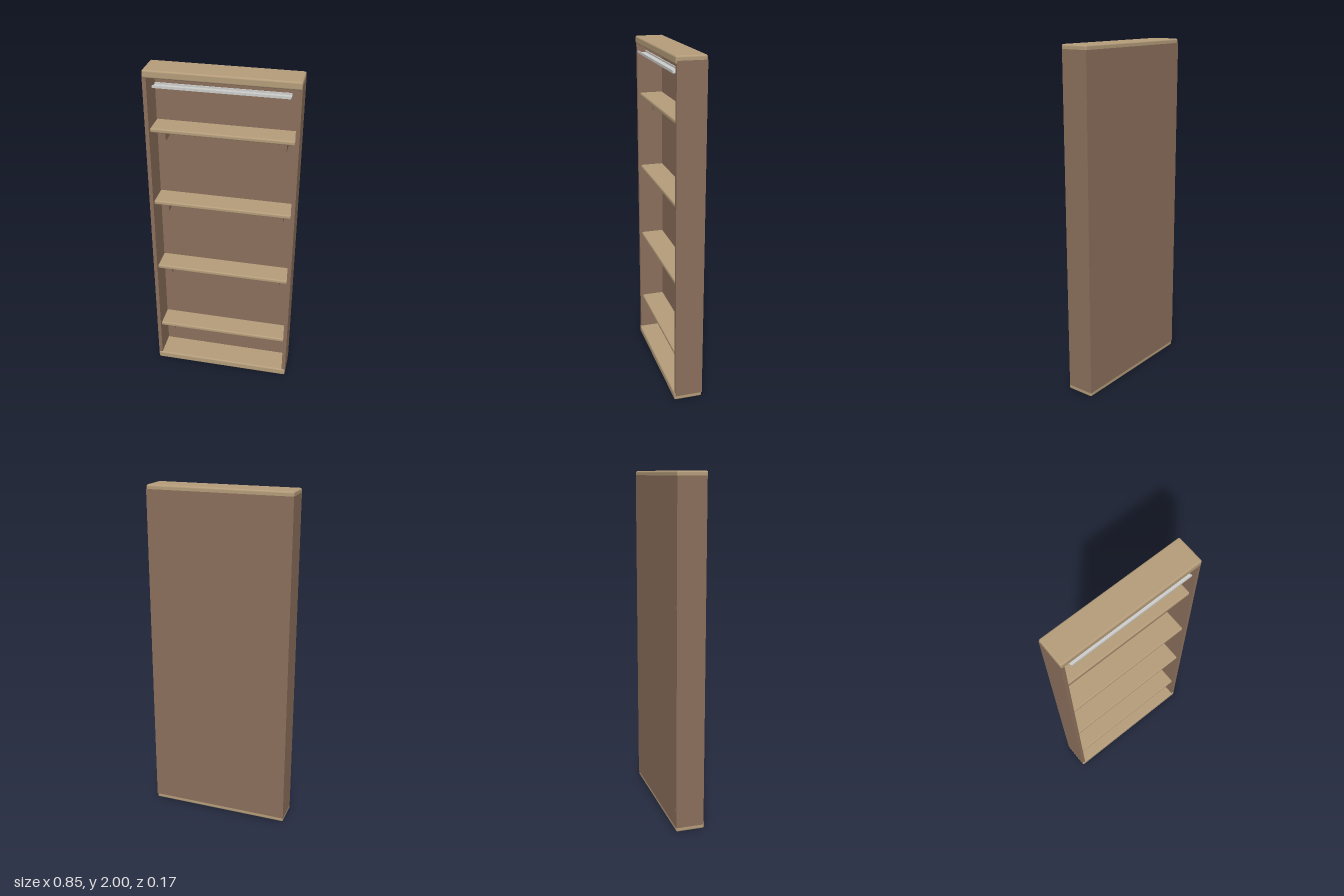
import * as THREE from 'three';
import { RoundedBoxGeometry } from 'three/addons/geometries/RoundedBoxGeometry.js';

export function createModel() {
  const model = new THREE.Group();
  model.name = 'bookcase';

  const mat = (name, color) => {
    const m = new THREE.MeshStandardMaterial({ color });
    m.name = name;
    return m;
  };
  const lightWood = mat('light wood', 0xb49c7a);
  const darkWood = mat('dark wood', 0x8b6f5c);
  const metal = mat('pale metal', 0xcccdca);

  const add = (name, geometry, material, x, y, z, parent = model) => {
    const mesh = new THREE.Mesh(geometry, material);
    mesh.name = name;
    mesh.position.set(x, y, z);
    parent.add(mesh);
    return mesh;
  };
  const box = (w, h, d) => new THREE.BoxGeometry(w, h, d);

  // Rounded top and base boards
  const board = new RoundedBoxGeometry(0.844, 0.045, 0.168, 4, 0.01);
  add('topBoard', board, lightWood, 0, 1.9775, 0);
  add('baseBoard', board, lightWood, 0, 0.0225, 0);

  // Carcass: side panels and back panel, just proud of the boards
  for (const s of [-1, 1]) {
    add(s > 0 ? 'leftPanel' : 'rightPanel', box(0.022, 1.95, 0.163), darkWood, s * 0.4115, 1, -0.003);
  }
  add('backPanel', box(0.82, 1.95, 0.0105), darkWood, 0, 1, -0.0793);

  // Shelves, each on a pair of brackets
  const shelf = new RoundedBoxGeometry(0.8, 0.025, 0.14, 4, 0.008);
  const bracket = box(0.018, 0.076, 0.075);
  for (let i = 0; i < 4; i++) {
    const unit = new THREE.Group();
    unit.name = 'shelfUnit' + (i + 1);
    unit.position.y = 0.275 + i * 0.4585;
    add('shelf', shelf, lightWood, 0, 0, -0.005, unit);
    for (const s of [-1, 1]) {
      add('bracket', bracket, darkWood, s * 0.34, -0.05, -0.0375, unit);
    }
    model.add(unit);
  }

  // Shallow light channel under the top board
  const channel = new THREE.Group();
  channel.name = 'lightChannel';
  channel.position.set(0, 1.913, 0.058);
  add('channelBase', box(0.735, 0.004, 0.05), metal, 0, -0.005, 0, channel);
  for (const s of [-1, 1]) {
    add('channelLip', box(0.735, 0.014, 0.005), metal, 0, 0, s * 0.0235, channel);
  }
  model.add(channel);

  return model;
}
